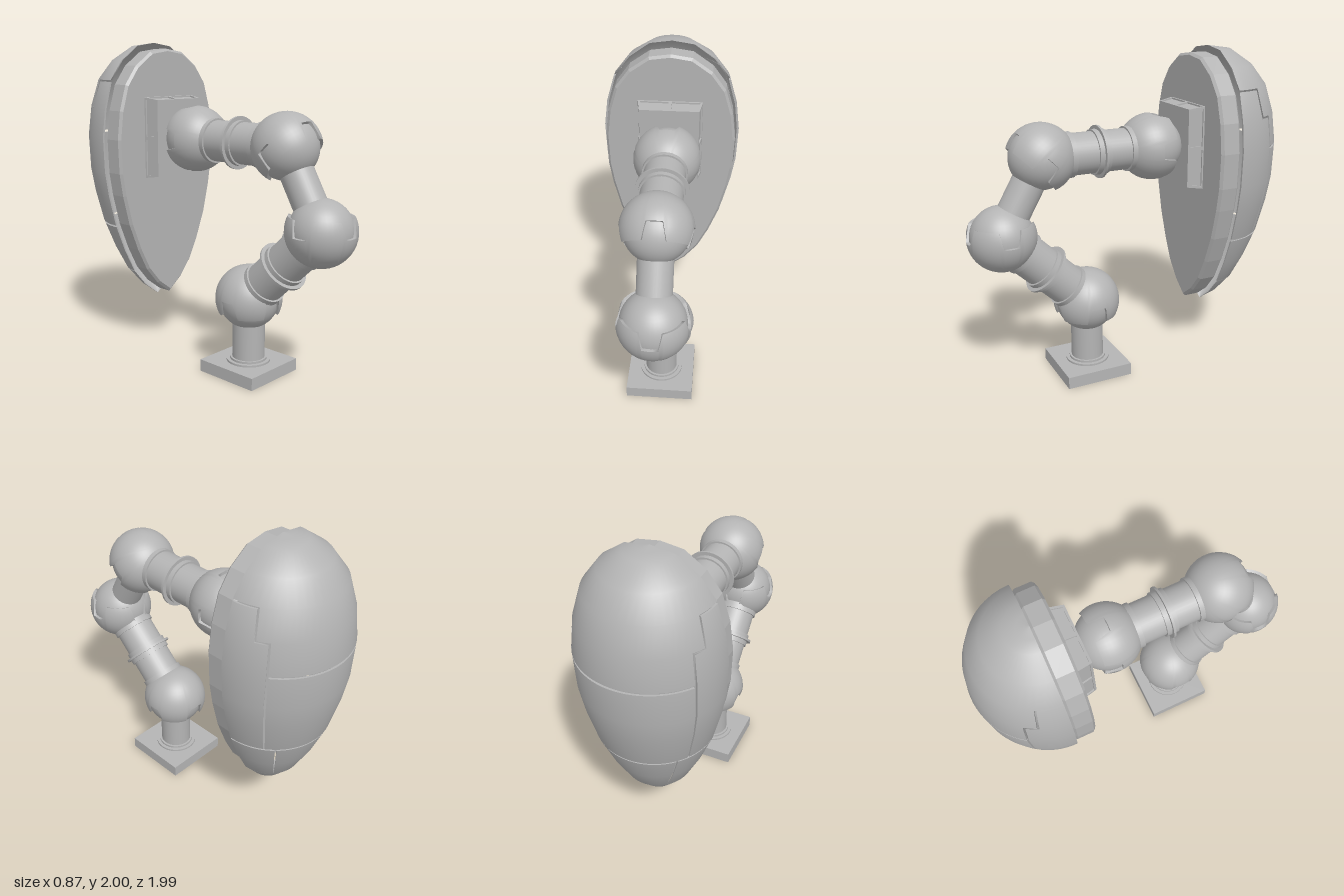
import * as THREE from 'three';

const grey = new THREE.MeshStandardMaterial({ color: 0xb4b4b4 });
grey.name = 'grey';

const Y = new THREE.Vector3(0, 1, 0);

function add(parent, name, geometry, x = 0, y = 0, z = 0) {
  const m = new THREE.Mesh(geometry, grey);
  m.name = name;
  m.position.set(x, y, z);
  parent.add(m);
  return m;
}

// Bend a grid box into a thick curved plate: place(column, row, outer) gives
// { p, n }, where n is the smooth outward normal of the big faces.
function curvedPlate(columns, rows, place) {
  const g = new THREE.BoxGeometry(1, 1, 1, columns, rows, 1);
  const pos = g.attributes.position, flat = g.attributes.normal.clone();
  const smooth = [];
  for (let k = 0; k < pos.count; k++) {
    const c = Math.round((pos.getX(k) + 0.5) * columns);
    const r = Math.round((0.5 - pos.getY(k)) * rows);
    const { p, n } = place(c, r, pos.getZ(k) > 0);
    pos.setXYZ(k, p.x, p.y, p.z);
    smooth.push(n.multiplyScalar(flat.getZ(k)));
  }
  g.computeVertexNormals();
  smooth.forEach((n, k) => {
    if (Math.abs(flat.getZ(k)) > 0.5) g.attributes.normal.setXYZ(k, n.x, n.y, n.z);
  });
  return g;
}

// Ball cup opening along +y, with four tapered notches in its rim
function cupGeometry() {
  const quarter = [-0.785, -0.64, -0.5, -0.36, -0.22, -0.07, 0.07, 0.22, 0.36, 0.5, 0.64];
  const cols = [];
  for (let q = 0; q < 4; q++) {
    for (const a of quarter) cols.push([a + q * Math.PI / 2, Math.abs(a) < 0.3 ? -0.012 : 0.087]);
  }
  cols.push([cols[0][0] + Math.PI * 2, 0.087]);
  const rows = 16;
  return curvedPlate(cols.length - 1, rows, (c, r, outer) => {
    const [a, h] = cols[c];
    const rim = Math.acos(h / 0.205);
    const t = rim + (Math.PI - rim) * r / rows;
    const n = new THREE.Vector3(Math.sin(t) * Math.sin(a), Math.cos(t), Math.sin(t) * Math.cos(a));
    return { p: n.clone().multiplyScalar(outer ? 0.205 : 0.18), n };
  });
}

function joint(parent, name, centre, opening) {
  const g = new THREE.Group();
  g.name = name;
  g.position.copy(centre);
  g.quaternion.setFromUnitVectors(Y, opening.normalize());
  add(g, 'innerBall', new THREE.SphereGeometry(0.187, 40, 24));
  add(g, 'notchedCup', cupGeometry());
  parent.add(g);
}

const disc = (r, h) => new THREE.CylinderGeometry(r, r, h, 36);

// Straight tube between two joints; flanged ones carry collars and a middle coupling
function arm(parent, name, from, to, radius, flanged) {
  const g = new THREE.Group();
  g.name = name;
  g.position.copy(from).add(to).multiplyScalar(0.5);
  const dir = to.clone().sub(from), len = dir.length();
  g.quaternion.setFromUnitVectors(Y, dir.normalize());
  add(g, 'tube', disc(radius, len - 0.2));
  if (flanged) {
    add(g, 'couplingBand', disc(0.136, 0.075));
    add(g, 'couplingFlange', disc(0.158, 0.014));
    for (const s of [-1, 1]) add(g, 'endCollar', disc(0.136, 0.045), 0, s * (len / 2 - 0.16));
  }
  parent.add(g);
}

// Egg profile of the head, [radius, height] from top to tip
const EGG = [[0, 2], [0.14, 1.98], [0.27, 1.89], [0.36, 1.77], [0.41, 1.605], [0.433, 1.42], [0.425, 1.2],
  [0.4, 1.05], [0.35, 0.85], [0.28, 0.67], [0.205, 0.52], [0.11, 0.405], [0, 0.32]];
const HEAD_Z = -0.56;

function eggAt(i) {
  const k = Math.min(Math.floor(i), EGG.length - 2), f = i - k;
  return [0, 1].map((j) => EGG[k][j] + (EGG[k + 1][j] - EGG[k][j]) * f);
}

// Head panel from rows of [profile index, start angle, end angle]
function panelGeometry(rows) {
  const columns = 24;
  return curvedPlate(columns, rows.length - 1, (c, k, outer) => {
    const [i, a0, a1] = rows[k];
    const a = a0 + (a1 - a0) * c / columns;
    const [r, y] = eggAt(i);
    const up = eggAt(Math.max(i - 0.5, 0)), down = eggAt(Math.min(i + 0.5, 12));
    const fall = up[1] - down[1], grow = down[0] - up[0];
    const n = new THREE.Vector3(fall * Math.cos(a), grow, -fall * Math.sin(a)).normalize();
    const s = r * (outer ? 1 : 0.97);
    return { p: new THREE.Vector3(s * Math.cos(a), y, HEAD_Z - s * Math.sin(a)), n };
  });
}

function buildHead(parent) {
  const head = new THREE.Group();
  head.name = 'head';
  parent.add(head);
  // Panels spanning the back, symmetric about the middle
  const spanning = {
    crownPanel: [[0, 0], [0.5, 0], [1, 0], [2, 0], [3, 0], [3, 0.42], [4, 0.43], [4, 0.61], [5, 0.61]],
    middleBackPanel: [[5.07, 0.61], [6, 0.6], [7, 0.6], [8, 0.61]],
    lowerBackPanel: [[8.07, 0.8], [9, 0.83], [10.07, 0.88], [10.07, 0], [11, 0], [12, 0]],
  };
  for (const [name, rows] of Object.entries(spanning)) {
    add(head, name, panelGeometry(rows.map(([i, a]) => [i, a, Math.PI - a])));
  }
  // Panels along each side
  const sides = {
    SidePanel: [[3.07, 0.39], [4.07, 0.4], [4.07, 0.58], [5, 0.58], [6, 0.57], [7, 0.57], [8, 0.58]],
    LowerSidePanel: [[8.07, 0.77], [9, 0.8], [10, 0.85]],
  };
  for (const [name, rows] of Object.entries(sides)) {
    add(head, 'left' + name, panelGeometry(rows.map(([i, a]) => [i, 0, a])));
    add(head, 'right' + name, panelGeometry(rows.map(([i, a]) => [i, Math.PI - a, Math.PI])));
  }
  // Bevelled face plate
  const half = EGG.map(([r, y]) => new THREE.Vector2(r * 0.945, 1.16 + (y - 1.16) * 0.955));
  const mirrored = half.slice(1, -1).reverse().map((p) => new THREE.Vector2(-p.x, p.y));
  const plate = new THREE.ExtrudeGeometry(new THREE.Shape([...half, ...mirrored]), {
    depth: 0.1, bevelEnabled: true, bevelThickness: 0.015, bevelSize: 0.015, bevelOffset: -0.015, bevelSegments: 1,
  });
  add(head, 'facePlate', plate, 0, 0, HEAD_Z + 0.015);
}

// Mount block between arm and head, narrowing towards the front
function buildMount(parent) {
  const mount = new THREE.Group();
  mount.name = 'headMount';
  mount.position.set(0, 1.41, -0.435);
  parent.add(mount);
  const block = (name, cx, cy, w, h, z0, z1) => {
    const g = new THREE.BoxGeometry(w, h, z1 - z0).translate(cx, cy, (z0 + z1) / 2);
    const p = g.attributes.position;
    for (let k = 0; k < p.count; k++) {
      const t = p.getZ(k) / 0.1;
      p.setXY(k, p.getX(k) * (1 - 0.09 * t), p.getY(k) * (1 - 0.06 * t));
    }
    g.computeVertexNormals();
    add(mount, name, g);
  };
  block('core', 0, 0, 0.385, 0.49, 0, 0.098);
  block('backRim', 0, 0, 0.405, 0.51, 0, 0.014);
  block('frontRim', 0, 0, 0.405, 0.51, 0.09, 0.104);
  block('verticalRib', 0, 0, 0.022, 0.51, 0.01, 0.1);
  block('horizontalRib', 0, 0, 0.405, 0.022, 0.01, 0.1);
  for (const sx of [-1, 1]) for (const sy of [-1, 1]) {
    block('cornerRib', sx * 0.195, sy * 0.2475, 0.015, 0.015, 0.01, 0.1);
  }
}

export function createModel() {
  const model = new THREE.Group();
  model.name = 'jointedArm';
  const V = (y, z) => new THREE.Vector3(0, y, z);
  const shoulder = V(0.473, 0.27), elbow = V(0.968, 0.79), wrist = V(1.41, 0.54), neck = V(1.41, -0.175);

  // Foot and post
  add(model, 'footPlate', new THREE.BoxGeometry(0.42, 0.075, 0.42), 0, 0.0375, 0.27);
  add(model, 'postFlange', disc(0.135, 0.012), 0, 0.081, 0.27);
  add(model, 'postCollar', disc(0.113, 0.025), 0, 0.0875, 0.27);
  add(model, 'post', disc(0.1, 0.3), 0, 0.225, 0.27);

  // Ball joints and arms
  joint(model, 'shoulderJoint', shoulder, V(-1, 0));
  joint(model, 'elbowJoint', elbow, V(1, 0));
  joint(model, 'wristJoint', wrist, V(-1, 1));
  joint(model, 'neckJoint', neck, V(0, -1));
  arm(model, 'lowerArm', shoulder, elbow, 0.125, true);
  arm(model, 'middleArm', elbow, wrist, 0.1, false);
  arm(model, 'upperArm', wrist, neck, 0.125, true);

  buildMount(model);
  buildHead(model);
  return model;
}
